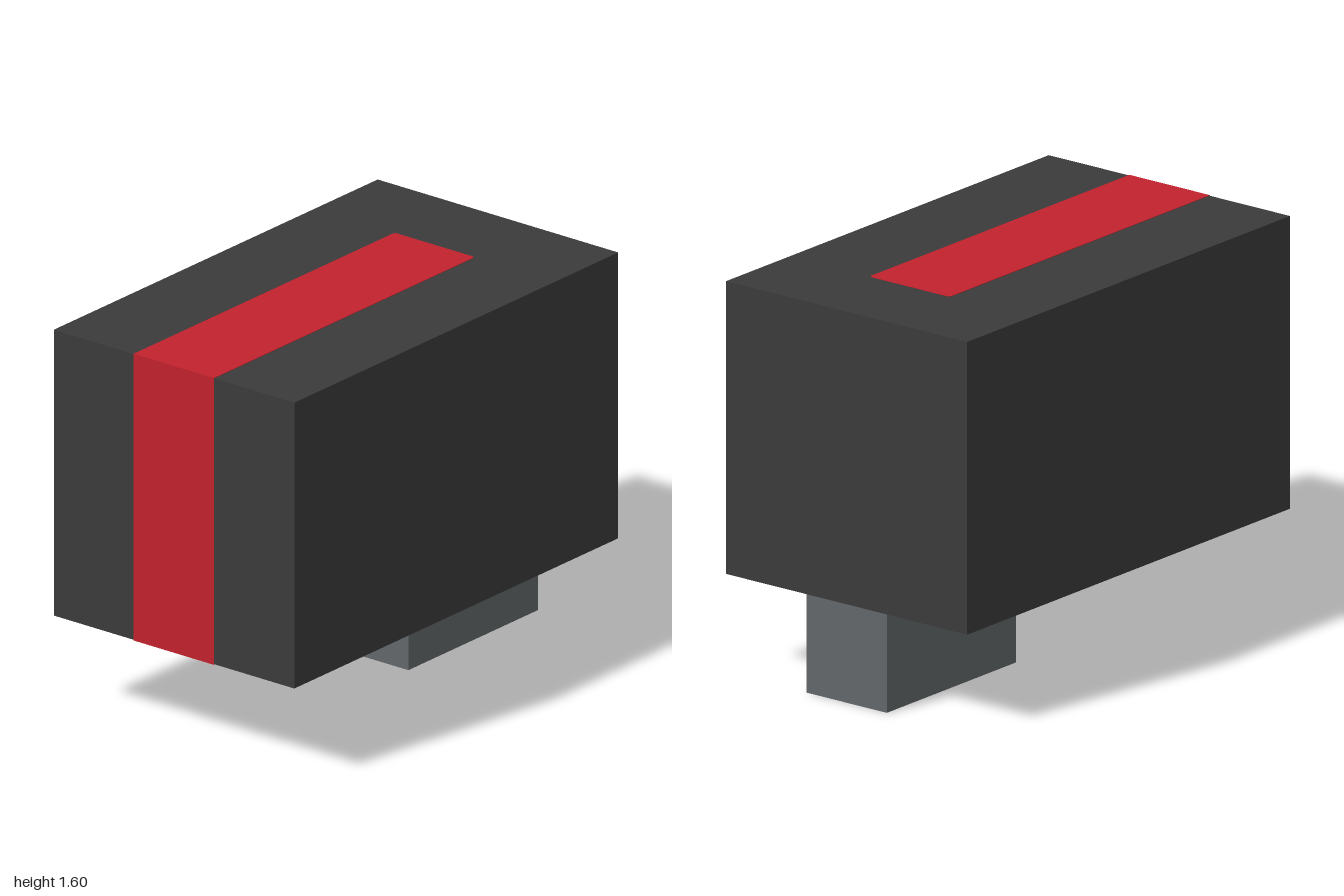
import * as THREE from 'three';

const T = 0.004; // stripe plate thickness
const W = 0.4; // stripe and foot width

// Flat strip lying in x-z from z = back to z = 1, with its two rear corners rounded
function stripPlate(back, r = 0.015) {
  const h = W / 2;
  const s = new THREE.Shape();
  s.moveTo(-h, -1);
  s.lineTo(h, -1);
  s.lineTo(h, -back - r);
  s.quadraticCurveTo(h, -back, h - r, -back);
  s.lineTo(-h + r, -back);
  s.quadraticCurveTo(-h, -back, -h, -back - r);
  s.closePath();
  const g = new THREE.ExtrudeGeometry(s, { depth: T, bevelEnabled: false, curveSegments: 4 });
  return g.rotateX(-Math.PI / 2);
}

export function createModel() {
  const charcoal = new THREE.MeshStandardMaterial({ color: 0x3b3b3b });
  charcoal.name = 'charcoal';
  const red = new THREE.MeshStandardMaterial({ color: 0xc1222d });
  red.name = 'red';
  const grey = new THREE.MeshStandardMaterial({ color: 0x63676a });
  grey.name = 'grey';

  const model = new THREE.Group();
  model.name = 'model';
  const add = (name, geometry, material, x, y, z) => {
    const m = new THREE.Mesh(geometry, material);
    m.name = name;
    m.position.set(x, y, z);
    model.add(m);
  };

  // Main block, set in slightly so the stripe plates stay within the overall size
  const e = T / 2;
  add('body', new THREE.BoxGeometry(1.2, 1.2 - 2 * e, 2 - e), charcoal, 0, 1, -e / 2);

  // Stripe wrapping from the top, down the front and under the bottom
  add('topStripe', stripPlate(-0.61), red, 0, 1.6 - T, 0);
  add('frontStripe', new THREE.BoxGeometry(W, 1.2, T), red, 0, 1, 1 - T / 2);
  add('bottomStripe', stripPlate(0.6), red, 0, 0.4, 0);

  // Foot beneath the rear
  add('foot', new THREE.BoxGeometry(W, 0.4 + e, 0.8), grey, 0, 0.2 + e / 2, -0.6);

  return model;
}
